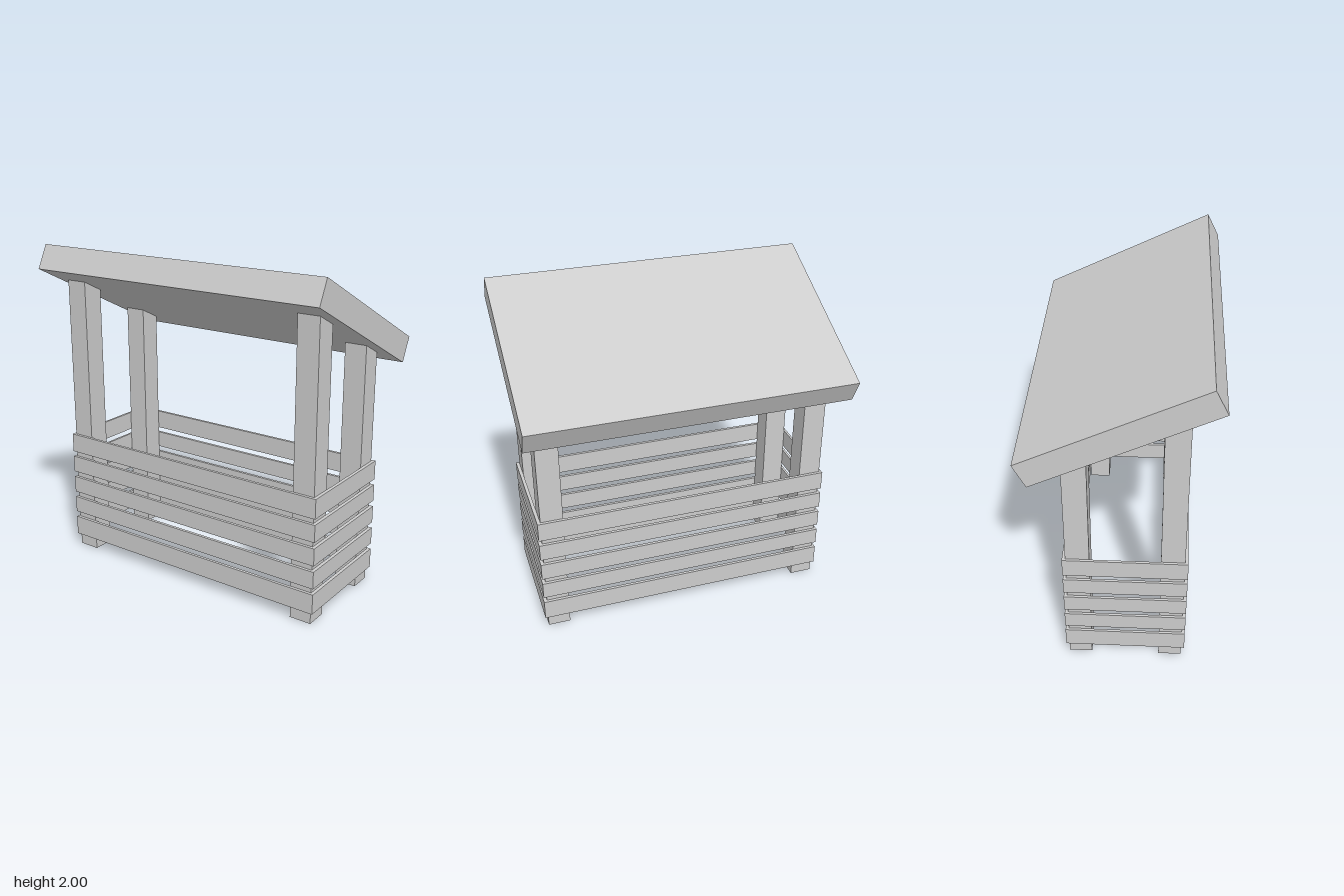
import * as THREE from 'three';

const material = new THREE.MeshStandardMaterial({ color: 0xcccccc, flatShading: true });

// Box given by its minimum and maximum corners
function box(name, [x0, y0, z0], [x1, y1, z1]) {
  const mesh = new THREE.Mesh(new THREE.BoxGeometry(x1 - x0, y1 - y0, z1 - z0), material);
  mesh.position.set((x0 + x1) / 2, (y0 + y1) / 2, (z0 + z1) / 2);
  mesh.name = name;
  return mesh;
}

export function createModel() {
  const model = new THREE.Group();
  model.name = 'stall';

  // Slanted roof slab, high at the front
  const roof = new THREE.Mesh(new THREE.BoxGeometry(1.935, 0.157, 1.12), material);
  roof.name = 'roof';
  roof.position.set(0, 1.682, 0);
  roof.rotation.x = -0.458;
  model.add(roof);

  // Four corner posts, their tops let into the roof
  for (const [side, x0, x1] of [['right', -0.89, -0.755], ['left', 0.745, 0.88]]) {
    model.add(box(`${side}FrontPost`, [x0, 0, 0.235], [x1, 1.78, 0.37]));
    model.add(box(`${side}BackPost`, [x0, 0, -0.3], [x1, 1.52, -0.165]));
  }

  // Five rows of thin slats wrapped around the posts
  const rows = [[0.075, 0.198], [0.235, 0.34], [0.377, 0.483], [0.52, 0.625], [0.66, 0.778]];
  rows.forEach(([y0, y1], i) => {
    const row = new THREE.Group();
    row.name = `slatRow${i + 1}`;
    row.add(
      box('frontSlat', [-0.905, y0, 0.37], [0.9, y1, 0.388]),
      box('backSlat', [-0.905, y0, -0.318], [0.9, y1, -0.3]),
      box('rightSlat', [-0.905, y0, -0.3], [-0.89, y1, 0.37]),
      box('leftSlat', [0.88, y0, -0.3], [0.9, y1, 0.37]),
    );
    model.add(row);
  });

  return model;
}
